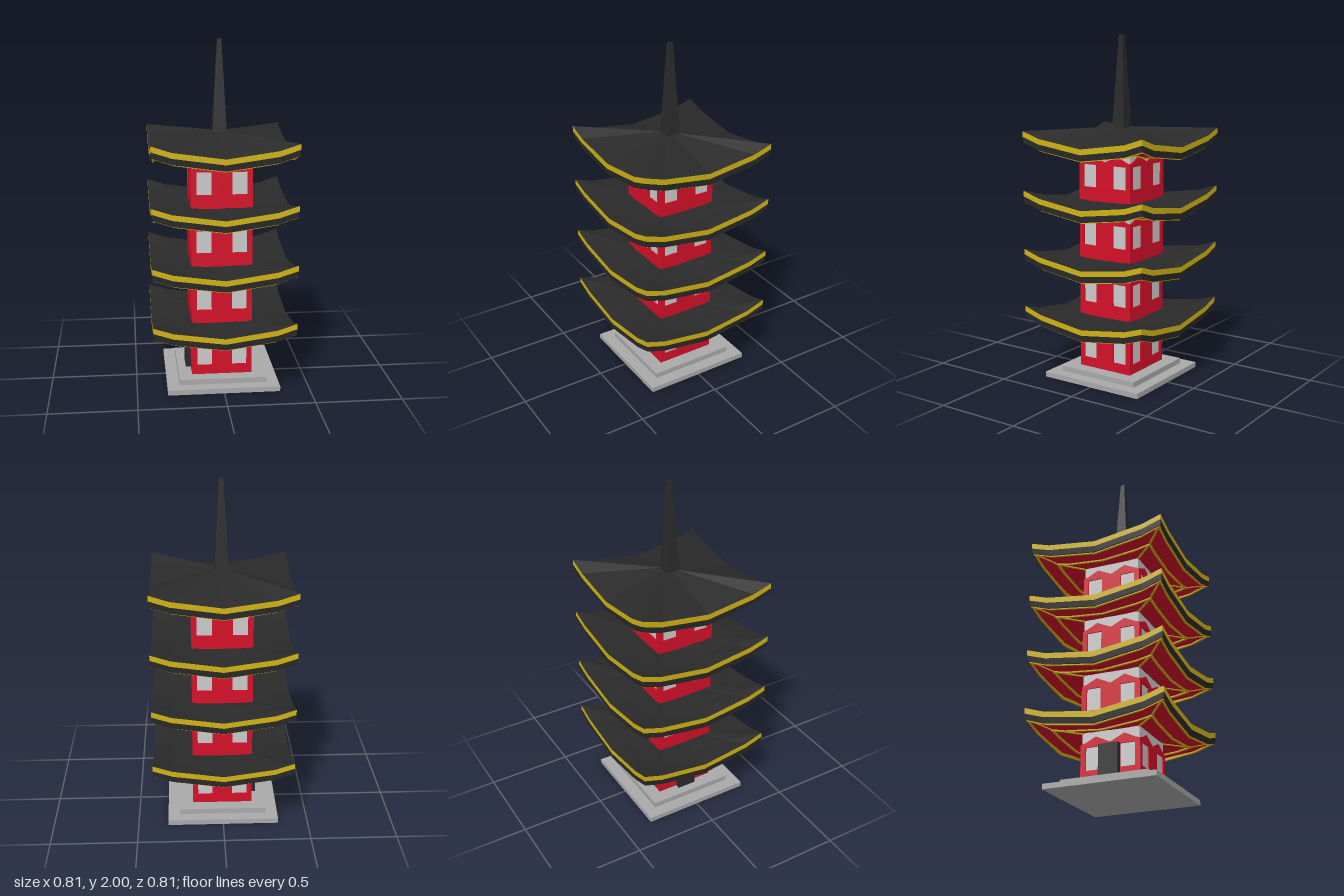
import * as THREE from 'three';

const mat = (color) => new THREE.MeshStandardMaterial({ color, flatShading: true });
const STOREYS = 4, STEP = 0.341;
const KINK = 0.72; // where each eave bends, as a share of its half length

// One mesh with a name
function part(name, geometry, material) {
  const mesh = new THREE.Mesh(geometry, material);
  mesh.name = name;
  return mesh;
}

// Skin over square rings given as [half width, y at middle, y at bend, y at corner]
function squareLoft(rings) {
  const pos = [], idx = [];
  const n = 16;
  for (const [r, mid, kink, corner] of rings) {
    const row = [[-1, corner], [-KINK, kink], [0, mid], [KINK, kink]];
    for (let side = 0; side < 4; side++) {
      const c = Math.round(Math.cos(side * Math.PI / 2));
      const s = Math.round(Math.sin(side * Math.PI / 2));
      for (const [t, y] of row) pos.push(r * (t * c + s), y, r * (c - t * s));
    }
  }
  for (let i = 0; i < rings.length - 1; i++) {
    for (let j = 0; j < n; j++) {
      const a = i * n + j, b = i * n + (j + 1) % n;
      idx.push(a, a + n, b + n, a, b + n, b);
    }
  }
  const g = new THREE.BufferGeometry();
  g.setAttribute('position', new THREE.Float32BufferAttribute(pos, 3));
  g.setIndex(idx);
  g.computeVertexNormals();
  return g;
}

const lower = ([r, ...ys], d, newR = r) => [newR, ...ys.map((y) => y - d)];

// Square beam between two points
function beam(name, a, b, width, material) {
  const mesh = part(name, new THREE.BoxGeometry(width, width, a.distanceTo(b)), material);
  mesh.position.copy(a).add(b).multiplyScalar(0.5);
  mesh.lookAt(b);
  return mesh;
}

export function createModel() {
  const red = mat(0xd61029), dark = mat(0x2a2a2a), yellow = mat(0xd0b414);
  const grey = mat(0xcccccc), stone = mat(0xaaaaaa);
  const model = new THREE.Group();
  model.name = 'pagoda';

  // Stepped stone base
  [[0.65, 0, 0.03], [0.51, 0.03, 0.032]].forEach(([w, y, h]) => {
    const slab = part('baseSlab', new THREE.BoxGeometry(w, h, w), stone);
    slab.position.y = y + h / 2;
    model.add(slab);
  });

  // Grey core that shows in the windows and above the red walls
  const core = part('core', new THREE.BoxGeometry(0.338, 1.36, 0.338), grey);
  core.position.y = 0.06 + 0.68;
  model.add(core);

  // Red wall panel with a zigzag top and two windows
  const wallShape = new THREE.Shape([
    [-0.176, 0.035], [0.176, 0.035], [0.176, 0.265], [0.145, 0.275], [0.085, 0.305],
    [0, 0.265], [-0.085, 0.305], [-0.145, 0.275], [-0.176, 0.265],
  ].map(([x, y]) => new THREE.Vector2(x, y)));
  for (const x of [-0.102, 0.102]) {
    const w = 0.043;
    wallShape.holes.push(new THREE.Path([
      [x - w, 0.118], [x - w, 0.248], [x + w, 0.248], [x + w, 0.118],
    ].map(([u, v]) => new THREE.Vector2(u, v))));
  }
  const wallGeo = new THREE.ExtrudeGeometry(wallShape, { depth: 0.01, bevelEnabled: false });
  wallGeo.translate(0, 0, 0.166);

  // Roof sections shared by all storeys
  const eave = [0.405, 0.362, 0.403, 0.44];
  const lowerTop = [[0.16, 0.38, 0.38, 0.383], [0.29, 0.368, 0.385, 0.4], eave];
  const upperTop = [[0.03, 0.457, 0.457, 0.457], eave];
  const soffit = [
    lower(eave, 0.067, 0.4), [0.365, 0.312, 0.338, 0.366],
    [0.29, 0.298, 0.318, 0.335], [0.16, 0.335, 0.335, 0.335],
  ];
  const bandGeo = squareLoft([eave, lower(eave, 0.032)]);
  const edgeGeo = squareLoft([lower(eave, 0.032), lower(eave, 0.067, 0.402), lower(eave, 0.067, 0.395)]);
  const soffitGeo = squareLoft(soffit);
  const ribRing = (ring) => squareLoft([
    lower(ring, -0.004, ring[0] + 0.007), lower(ring, 0.006, ring[0] + 0.006),
    lower(ring, 0.006, ring[0] - 0.006), lower(ring, -0.008, ring[0] - 0.007),
  ]);
  const ribGeos = [ribRing(lower(soffit[0], 0, 0.388)), ribRing(soffit[2])];

  for (let i = 0; i < STOREYS; i++) {
    const storey = new THREE.Group();
    storey.name = 'storey' + (i + 1);
    storey.position.y = i * STEP;

    for (let side = 0; side < 4; side++) {
      const wall = part('wall', wallGeo, red);
      wall.rotation.y = side * Math.PI / 2;
      storey.add(wall);
    }

    // Upswept roof with painted edge, soffit and ribs
    const roof = new THREE.Group();
    roof.name = 'roof';
    roof.add(part('roofTop', squareLoft(i === STOREYS - 1 ? upperTop : lowerTop), dark));
    roof.add(part('eaveBand', bandGeo, yellow));
    roof.add(part('eaveEdge', edgeGeo, dark));
    roof.add(part('soffit', soffitGeo, red));
    for (const g of ribGeos) roof.add(part('soffitRib', g, yellow));
    for (const sx of [-1, 1]) for (const sz of [-1, 1]) {
      for (let k = 0; k < soffit.length - 1; k++) {
        const [a, b] = [soffit[k], soffit[k + 1]].map(([r, , , y]) =>
          new THREE.Vector3(sx * (r - 0.005), y, sz * (r - 0.005)));
        roof.add(beam('hipRib', a, b, 0.012, yellow));
      }
    }
    storey.add(roof);
    model.add(storey);
  }

  // Door on the right-hand side
  const door = part('door', new THREE.BoxGeometry(0.035, 0.188, 0.115), dark);
  door.position.set(-0.188, 0.156, 0);
  model.add(door);

  // Tapered square spire
  const spireGeo = new THREE.CylinderGeometry(0.012 * Math.SQRT2, 0.041 * Math.SQRT2, 0.53, 4);
  spireGeo.rotateY(Math.PI / 4);
  const spire = part('spire', spireGeo, dark);
  spire.position.y = 2 - 0.265;
  model.add(spire);

  return model;
}
